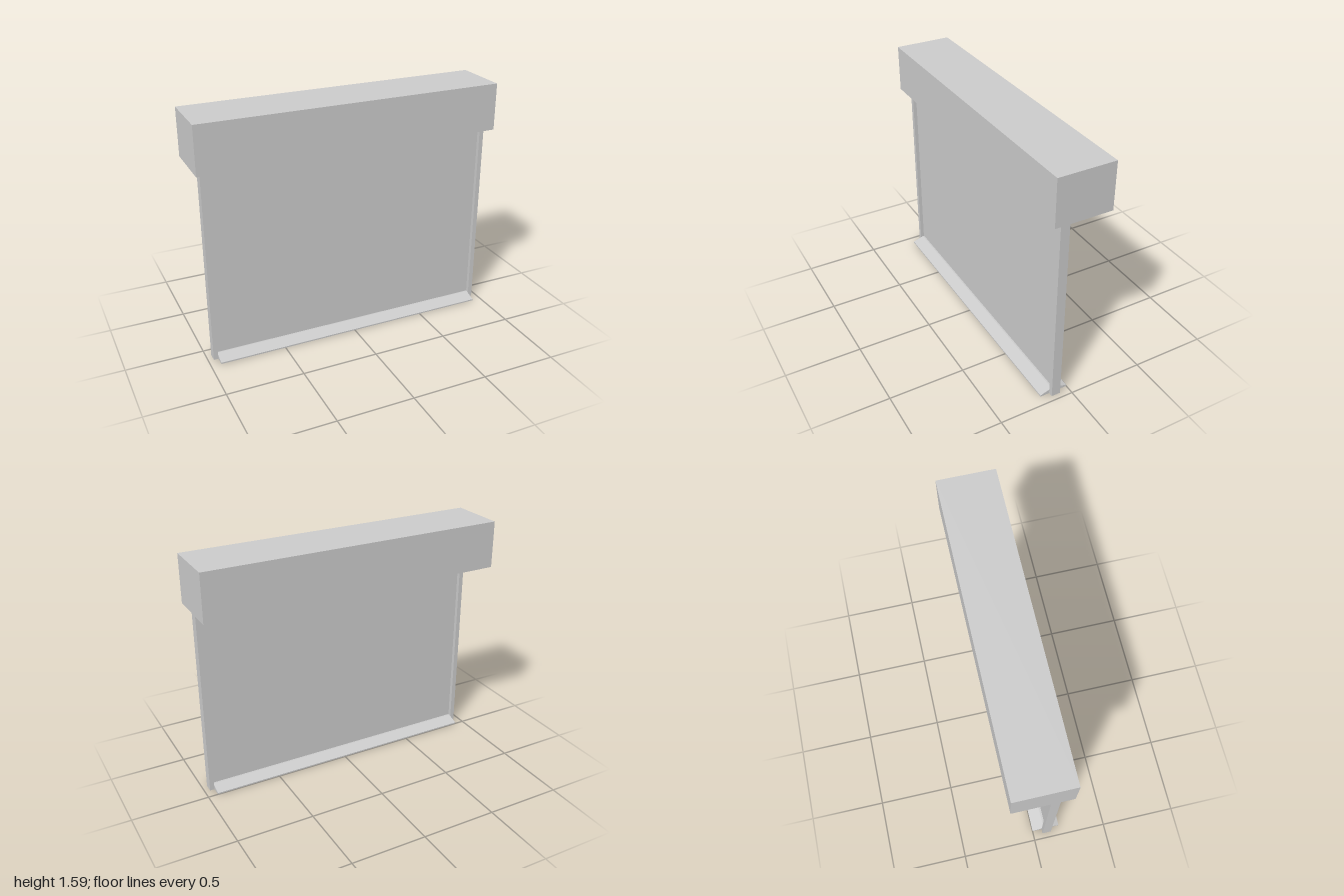
import * as THREE from 'three';

const material = new THREE.MeshStandardMaterial({ color: 0xcccccc, flatShading: true });
const Z = 0.095; // depth of the curtain plane

function addPart(group, name, geometry) {
  const mesh = new THREE.Mesh(geometry, material);
  mesh.name = name;
  group.add(mesh);
  return mesh;
}

function extrude(points, depth) {
  const shape = new THREE.Shape(points.map(([x, y]) => new THREE.Vector2(x, y)));
  return new THREE.ExtrudeGeometry(shape, { depth, bevelEnabled: false });
}

export function createModel() {
  const model = new THREE.Group();
  model.name = 'rollerShutter';

  // Housing for the roll
  addPart(model, 'housing', new THREE.BoxGeometry(2, 0.31, 0.374)).position.y = 1.435;

  // Flat curtain, with its edges inside the guide slots
  addPart(model, 'curtain', new THREE.BoxGeometry(1.9, 1.27, 0.008)).position.set(0, 0.645, Z);

  // Lipped guide channels, open at the foot, slot facing inwards
  const outer = 0.965, inner = 0.935, half = 0.03, t = 0.004, slot = 0.006;
  const channel = [
    [inner, slot], [inner, half], [outer, half], [outer, -half], [inner, -half], [inner, -slot],
    [inner + t, -slot], [inner + t, t - half], [outer - t, t - half],
    [outer - t, half - t], [inner + t, half - t], [inner + t, slot],
  ];
  for (const [side, name] of [[1, 'leftGuide'], [-1, 'rightGuide']]) {
    const geometry = extrude(channel.map(([x, y]) => [side * x, y]), 1.28);
    geometry.rotateX(-Math.PI / 2);
    addPart(model, name, geometry).position.z = Z;
  }

  // Sill sloping down to the front and the back
  const sill = extrude([
    [-0.094, 0], [0.094, 0], [0.094, 0.009], [0.015, 0.035], [-0.015, 0.035], [-0.094, 0.009],
  ], 2 * inner);
  sill.translate(0, 0, -inner).rotateY(-Math.PI / 2);
  addPart(model, 'sill', sill).position.z = 0.094;

  return model;
}
